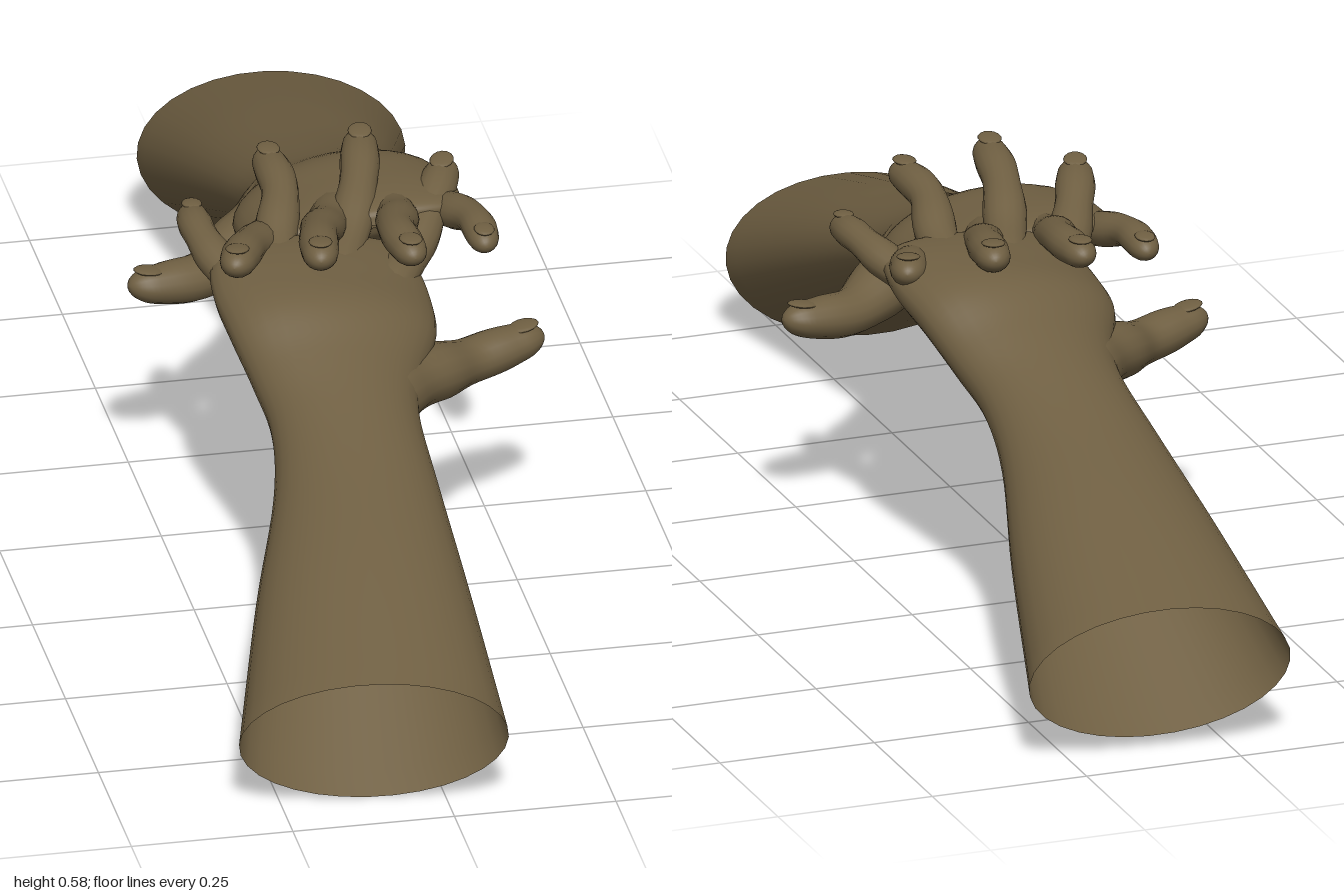
import * as THREE from 'three';

const skin = new THREE.MeshStandardMaterial({ color: 0x6f5f42, side: THREE.DoubleSide });
skin.name = 'olive brown skin';
const V3 = (x, y, z) => new THREE.Vector3(x, y, z);
const UP = V3(0, 1, 0);

// Smooth skin over a list of elliptical rings { c, u, v }
function loft(rings, sides) {
  const pos = [], idx = [];
  for (const { c, u, v } of rings) {
    for (let j = 0; j < sides; j++) {
      const a = (j / sides) * Math.PI * 2;
      const p = c.clone().addScaledVector(u, Math.cos(a)).addScaledVector(v, Math.sin(a));
      pos.push(p.x, p.y, p.z);
    }
  }
  for (let i = 0; i < rings.length - 1; i++) {
    for (let j = 0; j < sides; j++) {
      const k = (j + 1) % sides;
      const a = i * sides + j, b = i * sides + k, c = a + sides, d = b + sides;
      idx.push(a, c, b, b, c, d);
    }
  }
  const g = new THREE.BufferGeometry();
  g.setAttribute('position', new THREE.Float32BufferAttribute(pos, 3));
  g.setIndex(idx);
  g.computeVertexNormals();
  return g;
}

function mesh(geometry, name) {
  const m = new THREE.Mesh(geometry, skin);
  m.name = name;
  return m;
}

// Forearm, wrist and palm: open at the elbow end, closed at the finger webbing
function armAndPalm() {
  // centre x, y, z, half width, half height, lean of the top in z, lean of the side in z and y
  const S = [
    [-0.115, 0.117, 0.953, 0.203, 0.117, 0.042, 0.028, 0],
    [-0.08, 0.222, 0.70, 0.162, 0.092, 0.04, 0.02, 0],
    [-0.05, 0.302, 0.50, 0.126, 0.071, 0.032, 0.01, 0],
    [-0.04, 0.352, 0.37, 0.115, 0.065, 0.025, 0, 0],
    [-0.034, 0.385, 0.28, 0.132, 0.068, 0.02, 0, -0.008],
    [-0.025, 0.42, 0.20, 0.16, 0.07, 0.015, 0, -0.018],
    [-0.025, 0.44, 0.12, 0.168, 0.06, 0.01, 0, -0.02],
    [-0.025, 0.46, 0.05, 0.158, 0.042, 0.005, 0, -0.015],
    [-0.02, 0.473, 0.01, 0.125, 0.022, 0, 0, -0.01],
    [-0.02, 0.475, 0.0, 0.02, 0.003, 0, 0, 0],
  ];
  const curve = (a, b, c) => new THREE.CatmullRomCurve3(
    S.map((s) => V3(s[a], s[b], c === null ? 0 : s[c])), false, 'catmullrom', 0.5);
  const centre = curve(0, 1, 2), size = curve(3, 4, 5), lean = curve(6, 7, null);
  const rings = [];
  for (let i = 0; i <= 54; i++) {
    const t = i / 54, s = size.getPoint(t), l = lean.getPoint(t);
    rings.push({ c: centre.getPoint(t), u: V3(s.x, l.y, l.x), v: V3(0, s.y, s.z) });
  }
  return mesh(loft(rings, 32), 'forearmAndPalm');
}

// Tapered, rounded finger with a slight swelling at each joint and a nail
function finger(name, points, r0, r1) {
  const group = new THREE.Group();
  group.name = name;
  const path = new THREE.CatmullRomCurve3(points.map((p) => V3(...p)));
  const length = path.getLength(), steps = 30;
  const frame = (t) => {
    const T = path.getTangentAt(t);
    const u = T.clone().cross(UP).normalize();
    return { c: path.getPointAt(t), T, u, v: u.clone().cross(T).normalize() };
  };
  const rings = [];
  for (let i = 0; i <= steps; i++) {
    const t = Math.sin((i / steps) * Math.PI / 2);
    const f = frame(t);
    let r = r0 + (r1 - r0) * t;
    r *= 1 + 0.05 * Math.cos((t - 0.42) * Math.PI * 5.5);
    const left = (1 - t) * length, cap = r1 * 1.3;
    if (left < cap) r *= Math.sqrt(Math.max(0, 1 - (1 - left / cap) ** 2));
    rings.push({ c: f.c, u: f.u.multiplyScalar(r), v: f.v.multiplyScalar(r * 0.88) });
  }
  group.add(mesh(loft(rings, 16), 'fingerBody'));

  const f = frame(1 - (r1 * 1.05) / length);
  const nail = mesh(new THREE.SphereGeometry(1, 14, 8), 'nail');
  nail.scale.set(r1 * 0.68, 0.0045, r1 * 0.85);
  nail.position.copy(f.c).addScaledVector(f.v, r1 * 0.86);
  nail.quaternion.setFromRotationMatrix(
    new THREE.Matrix4().makeBasis(f.u, f.v, f.T.clone().negate()));
  group.add(nail);
  return group;
}

function createArm(name) {
  const arm = new THREE.Group();
  arm.name = name;
  arm.add(armAndPalm());
  arm.add(finger('littleFinger', [
    [-0.135, 0.45, 0.11], [-0.166, 0.472, 0.03], [-0.182, 0.488, -0.04], [-0.18, 0.485, -0.13]], 0.034, 0.023));
  arm.add(finger('ringFinger', [
    [-0.08, 0.46, 0.09], [-0.072, 0.487, 0], [-0.046, 0.518, -0.1], [-0.047, 0.525, -0.215]], 0.036, 0.026));
  arm.add(finger('middleFinger', [
    [0, 0.462, 0.09], [0.04, 0.488, 0], [0.076, 0.525, -0.1], [0.102, 0.54, -0.22]], 0.036, 0.027));
  arm.add(finger('indexFinger', [
    [0.075, 0.44, 0.11], [0.135, 0.463, 0.02], [0.18, 0.495, -0.06], [0.222, 0.512, -0.155]], 0.037, 0.027));
  arm.add(finger('thumb', [
    [0.02, 0.367, 0.31], [0.105, 0.355, 0.235], [0.19, 0.338, 0.168], [0.25, 0.343, 0.145], [0.315, 0.352, 0.128]], 0.062, 0.029));
  return arm;
}

export function createModel() {
  const model = new THREE.Group();
  model.name = 'interlacedHands';
  model.add(createArm('frontArm'));
  // The second arm faces the first, turned slightly so the fingers interlace
  const back = createArm('backArm');
  back.rotation.y = Math.PI + 0.046;
  back.position.set(0.044, 0.018, 0);
  model.add(back);
  return model;
}
